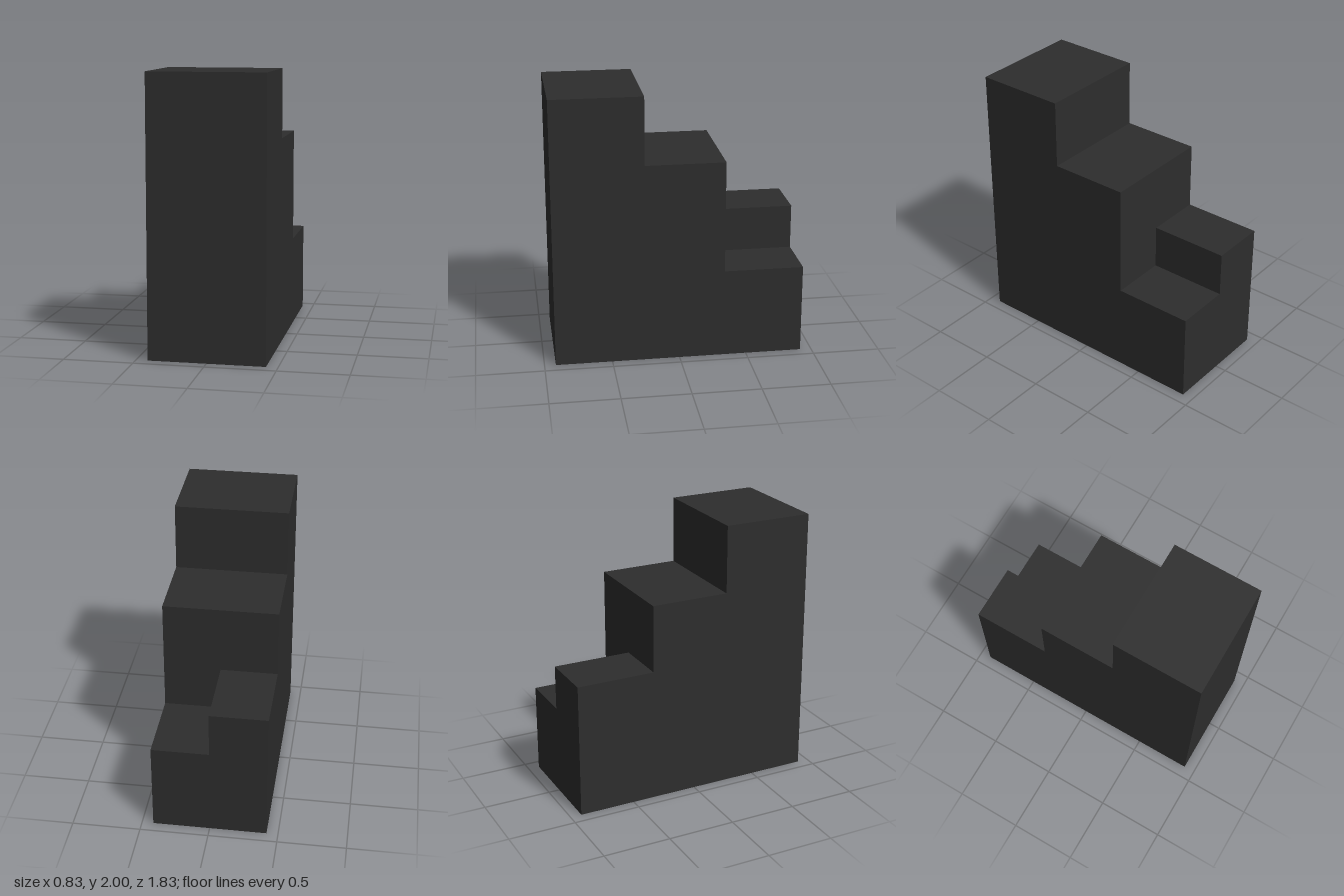
import * as THREE from 'three';

const WIDTH = 0.833;
const FRONT = 0.917, BACK = -0.917;

export function createModel() {
  const group = new THREE.Group();
  group.name = 'steppedBlock';

  const charcoal = new THREE.MeshStandardMaterial({ color: 0x2d2d2d });
  charcoal.name = 'charcoal';

  // Stepped body: side profile as [z, y], extruded across the width
  const profile = [
    [FRONT, 0], [BACK, 0], [BACK, 0.667], [-0.333, 0.667],
    [-0.333, 1.5], [0.25, 1.5], [0.25, 2], [FRONT, 2],
  ];
  const shape = new THREE.Shape(profile.map(([z, y]) => new THREE.Vector2(-z, y)));
  const bodyGeometry = new THREE.ExtrudeGeometry(shape, { depth: WIDTH, bevelEnabled: false });
  bodyGeometry.rotateY(Math.PI / 2).translate(-WIDTH / 2, 0, 0);
  const body = new THREE.Mesh(bodyGeometry, charcoal);
  body.name = 'steppedBody';
  group.add(body);

  // Raised half of the lowest step, on the right side
  const raised = new THREE.Mesh(new THREE.BoxGeometry(WIDTH / 2, 0.333, 0.584), charcoal);
  raised.name = 'raisedHalfStep';
  raised.position.set(-WIDTH / 4, 0.8335, -0.625);
  group.add(raised);

  return group;
}
